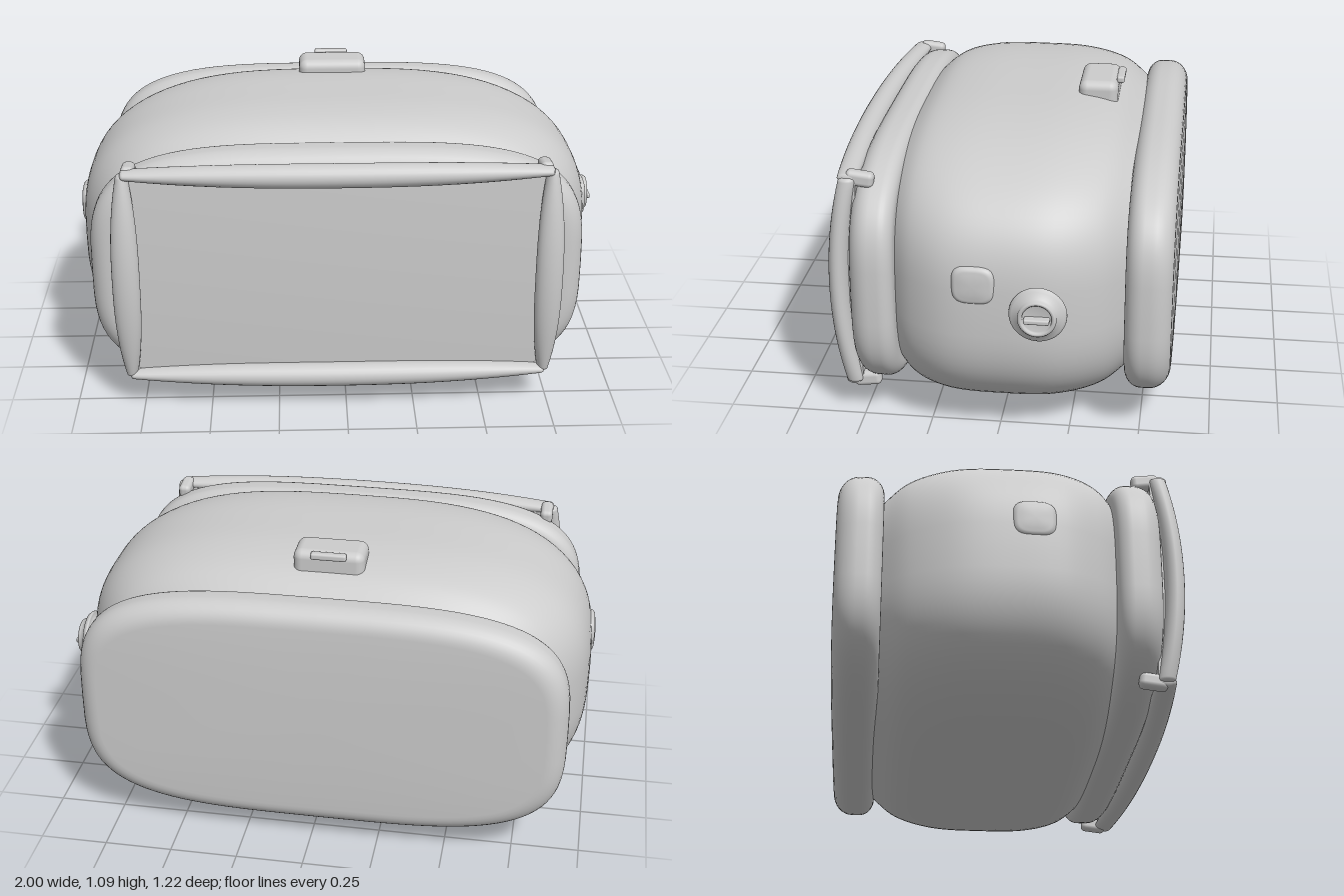
import * as THREE from 'three';
import { RoundedBoxGeometry } from 'three/addons/geometries/RoundedBoxGeometry.js';

const CX = -0.03, CY = 0.525; // centre of the housing

// Smooth closed loft along z through superellipse rings [z, halfWidth, halfHeight, offsetX, offsetY]
function loft(rings, n, seg = 96) {
  const pos = [], idx = [];
  for (const [z, a, b, ox = 0, oy = 0] of rings) {
    for (let j = 0; j < seg; j++) {
      const t = (j / seg) * Math.PI * 2, c = Math.cos(t), s = Math.sin(t);
      pos.push(ox + a * Math.sign(c) * Math.abs(c) ** (2 / n),
        oy + b * Math.sign(s) * Math.abs(s) ** (2 / n), z);
    }
  }
  const last = rings.length - 1, c0 = rings.length * seg;
  for (const [z, , , ox = 0, oy = 0] of [rings[0], rings[last]]) pos.push(ox, oy, z);
  for (let j = 0; j < seg; j++) {
    const k = (j + 1) % seg;
    for (let i = 0; i < last; i++) {
      const p = i * seg, q = p + seg;
      idx.push(p + j, p + k, q + k, p + j, q + k, q + j);
    }
    idx.push(c0, k, j, c0 + 1, last * seg + j, last * seg + k);
  }
  const g = new THREE.BufferGeometry();
  g.setAttribute('position', new THREE.Float32BufferAttribute(pos, 3));
  g.setIndex(idx);
  g.computeVertexNormals();
  return g;
}

// Rounded slab from z0 to z1 with edge radii r0, r1 and faces domed by d0, d1
function slab(a, b, z0, z1, r0, r1, d0, d1, n) {
  const N = 8;
  // Rings of one face, from its centre out to the widest edge; dir is the way the face looks
  const face = (z, r, d, dir) => {
    const rings = [0.02, 0.3, 0.6, 0.85].map((k) =>
      [z - dir * d * k ** 3, (a - r) * k, (b - r) * k]);
    for (let i = 0; i <= N; i++) {
      const t = (i / N) * Math.PI / 2, grow = r * (Math.sin(t) - 1);
      rings.push([z - dir * (d + r * (1 - Math.cos(t))), a + grow, b + grow]);
    }
    return rings;
  };
  return loft([...face(z0, r0, d0, -1), ...face(z1, r1, d1, 1).reverse()], n);
}

// Lens-shaped, bowed frame bar along local z; bow moves its middle sideways
function bar(half, aMid, aEnd, bMid, bEnd, bowX, bowY) {
  const rings = [], N = 28;
  for (let i = 0; i <= N; i++) {
    const t = -1 + (2 * i) / N, w = 1 - t * t, k = 1 - Math.abs(t) ** 2.6;
    rings.push([half * t, aEnd + (aMid - aEnd) * k, bEnd + (bMid - bEnd) * k, bowX * w, bowY * w]);
  }
  for (const s of [1, 0.6]) {
    const z = half + 0.012 * (1.6 - s);
    rings.unshift([-z, aEnd * s * 0.9, bEnd * s * 0.9]);
    rings.push([z, aEnd * s * 0.9, bEnd * s * 0.9]);
  }
  return loft(rings, 2, 24);
}

export function createModel() {
  const model = new THREE.Group();
  model.name = 'headset';
  const grey = new THREE.MeshStandardMaterial({ color: 0xcccccc });
  grey.name = 'grey';
  const add = (name, geo, x = 0, y = 0, z = 0) => {
    const m = new THREE.Mesh(geo, grey);
    m.name = name;
    m.position.set(x, y, z);
    model.add(m);
    return m;
  };

  // Barrel-shaped housing
  const profile = new THREE.CatmullRomCurve3([
    [-0.5, 0.69, 0.385], [-0.44, 0.775, 0.432], [-0.35, 0.87, 0.488], [-0.2, 0.942, 0.518],
    [0, 0.96, 0.523], [0.18, 0.945, 0.519], [0.3, 0.885, 0.498], [0.37, 0.81, 0.455], [0.42, 0.72, 0.4],
  ].map((p) => new THREE.Vector3(p[1], p[2], p[0])));
  add('housing', loft(profile.getPoints(48).map((p) => [p.z, p.x, p.y]), 3), CX, CY);

  // Front and back padded plates
  add('frontPlate', slab(0.897, 0.461, 0.365, 0.545, 0.05, 0.075, 0, 0.022, 3.6), CX, CY);
  add('backPlate', slab(0.897, 0.45, -0.612, -0.44, 0.075, 0.06, 0.008, 0, 3.6), CX, CY);

  // Gently bowed screen panel
  const screen = new THREE.BoxGeometry(1.53, 0.79, 0.03, 24, 16, 1);
  const sp = screen.attributes.position;
  for (let i = 0; i < sp.count; i++) {
    const u = sp.getX(i) / 0.765, v = sp.getY(i) / 0.395;
    sp.setZ(i, sp.getZ(i) + 0.519 + 0.012 * (1 - u * u) + 0.008 * (1 - v * v));
  }
  screen.computeVertexNormals();
  add('screen', screen, CX, CY);

  // Frame bars around the screen
  for (const s of [1, -1]) {
    const across = bar(0.755, 0.046, 0.036, 0.044, 0.018, -0.03, 0).rotateY(Math.PI / 2);
    add(s > 0 ? 'topBar' : 'bottomBar', across, CX, CY + s * 0.396, 0.534);
    const upright = bar(0.387, 0.05, 0.022, 0.035, 0.03, 0, -0.042).rotateX(-Math.PI / 2);
    add(s > 0 ? 'leftBar' : 'rightBar', upright, CX + s * 0.762, CY, 0.536);
    // Corner clips holding the frame to the front plate
    for (const v of [1, -1]) {
      const clip = add('cornerClip', new RoundedBoxGeometry(0.048, 0.055, 0.1, 3, 0.018),
        CX + s * 0.742, CY + v * 0.392, 0.492);
      clip.rotation.x = -v * 0.12;
    }
  }

  // Top button with its small tab
  add('topButton', new RoundedBoxGeometry(0.26, 0.12, 0.147, 5, 0.032), -0.03, 1.026, -0.284);
  add('topButtonTab', new RoundedBoxGeometry(0.13, 0.026, 0.03, 3, 0.009), -0.033, 1.077, -0.363);

  // Rounded pads on both sides
  for (const s of [1, -1]) {
    const pad = slab(0.076, 0.07, -0.03, 0.03, 0.02, 0.02, 0.004, 0.004, 3.4).rotateY(Math.PI / 2);
    add('sidePad', pad, CX + s * 0.938, 0.63, 0.069).rotation.y = -s * 0.04;
  }

  // Strap knob on the left side: stem, flange, raised ring and slot bar
  const knob = [[0, 0.89], [0.07, 0.89], [0.07, 0.935], [0.097, 0.935], [0.1, 0.94], [0.099, 0.947],
    [0.09, 0.957], [0.068, 0.965], [0.067, 0.978], [0.062, 0.985], [0.055, 0.985], [0.051, 0.98],
    [0.05, 0.97], [0, 0.97]].map(([r, h]) => new THREE.Vector2(r, h));
  add('strapKnob', new THREE.LatheGeometry(knob, 48).rotateZ(-Math.PI / 2), 0, 0.545, -0.155);
  add('knobSlotBar', new RoundedBoxGeometry(0.04, 0.018, 0.088, 2, 0.006), 0.98, 0.542, -0.155);

  return model;
}
